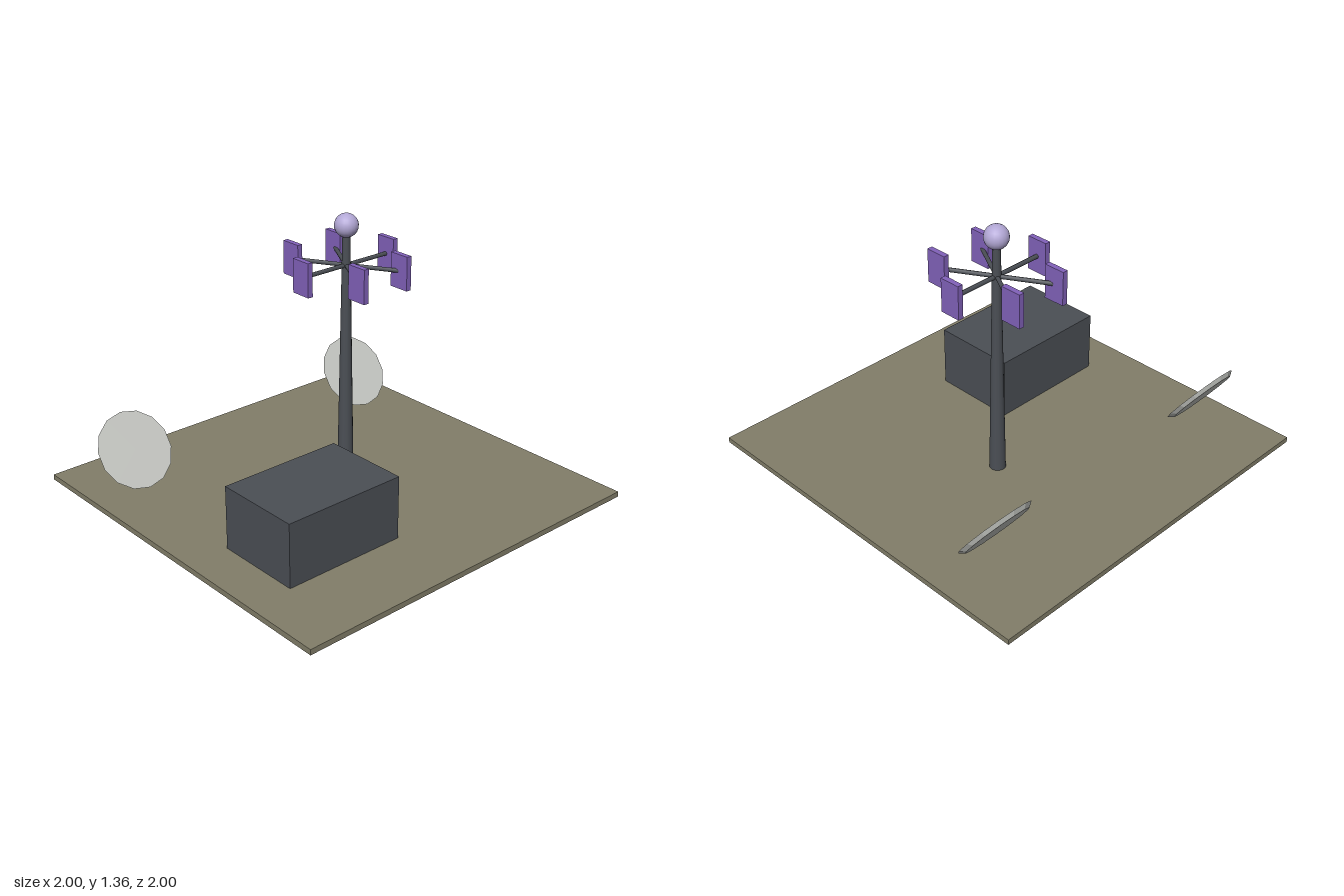
import * as THREE from 'three';

function material(name, color) {
  const m = new THREE.MeshStandardMaterial({ color });
  m.name = name;
  return m;
}

export function createModel() {
  const model = new THREE.Group();
  model.name = 'antennaStation';

  const ground = material('olive ground', 0x827e69);
  const metal = material('dark steel', 0x4b4f55);
  const purple = material('purple panel', 0x8262ba);
  const lilac = material('pale lilac', 0xb3a8d6);
  const pale = material('pale grey', 0xc6c8c3);
  const dishMetal = pale.clone();
  dishMetal.name = 'pale grey faceted';
  dishMetal.flatShading = true;

  function add(parent, name, geometry, mat, x, y, z) {
    const mesh = new THREE.Mesh(geometry, mat);
    mesh.name = name;
    mesh.position.set(x, y, z);
    parent.add(mesh);
    return mesh;
  }

  // Ground slab and equipment building
  add(model, 'groundSlab', new THREE.BoxGeometry(2, 0.028, 2), ground, 0, 0.014, 0);
  add(model, 'building', new THREE.BoxGeometry(0.65, 0.345, 0.45), metal, -0.45, 0.1775, 0.375);

  // Tapered mast with a ball on top
  const tower = new THREE.Group();
  tower.name = 'tower';
  tower.position.set(0.198, 0, -0.125);
  model.add(tower);
  add(tower, 'mast', new THREE.CylinderGeometry(0.019, 0.042, 1.28, 12), metal, 0, 0.66, 0);
  add(tower, 'topBall', new THREE.SphereGeometry(0.06, 20, 14), lilac, 0, 1.303, 0);

  // Six radial arms, each ending in an upright panel that keeps the same heading
  const reach = 0.275;
  const armGeometry = new THREE.CylinderGeometry(0.011, 0.011, reach, 8).rotateZ(Math.PI / 2);
  const panelGeometry = new THREE.BoxGeometry(0.028, 0.172, 0.11);
  for (let i = 0; i < 6; i++) {
    const a = (i * Math.PI) / 3;
    const x = Math.cos(a), z = Math.sin(a);
    const arm = add(tower, 'arm', armGeometry, metal, (x * reach) / 2, 1.102, (z * reach) / 2);
    arm.rotation.y = -a;
    add(tower, 'panel', panelGeometry, purple, x * reach, 1.102, z * reach);
  }

  // Two shallow reflector dishes tilted up towards the front
  const dishGeometry = new THREE.CylinderGeometry(0.2, 0.174, 0.02, 14).translate(0, -0.01, 0);
  for (const x of [-0.75, 0.7]) {
    const dish = add(model, 'dish', dishGeometry, dishMetal, x, 0.233, -0.617);
    dish.rotation.x = 0.95;
  }

  return model;
}
